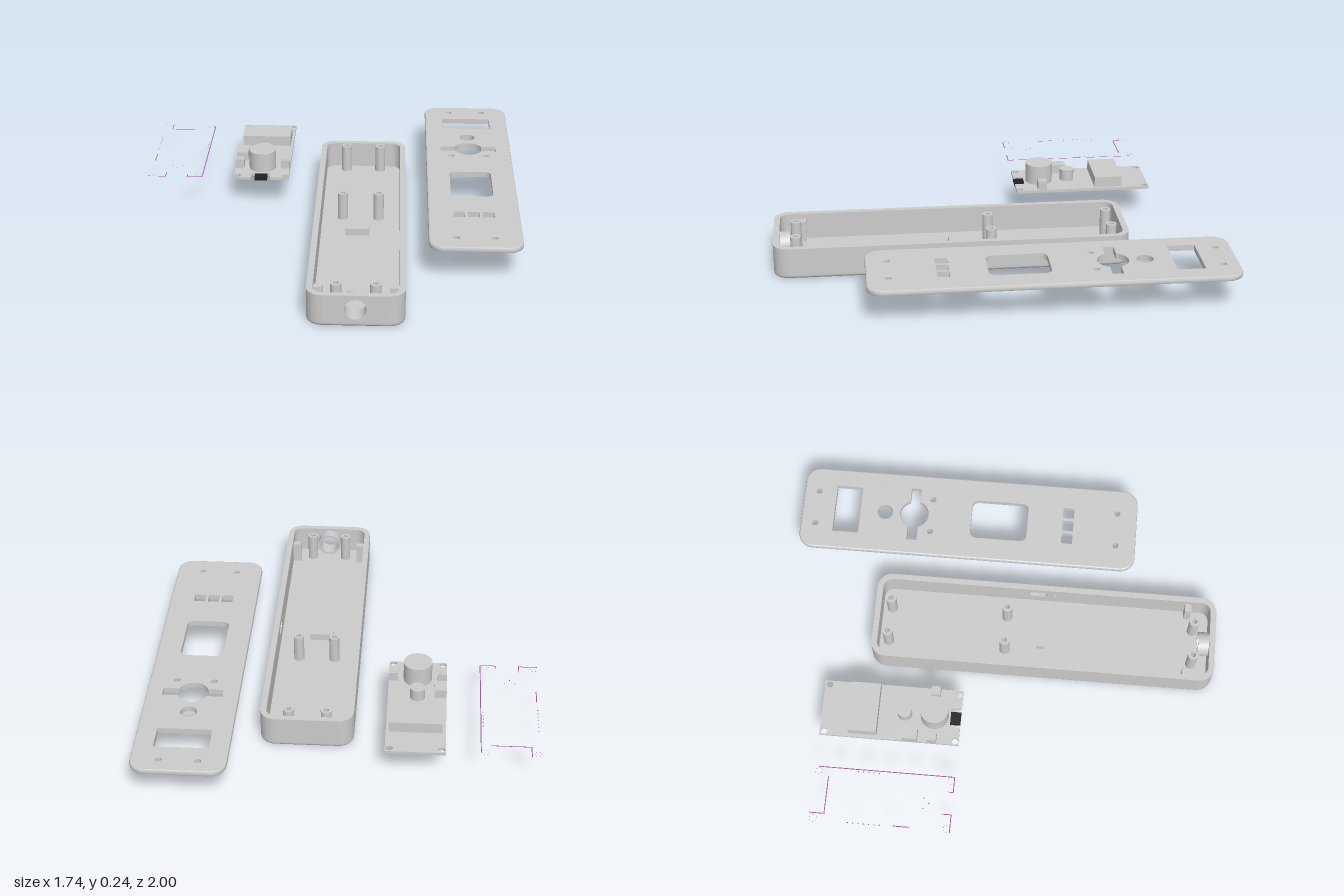
import * as THREE from 'three';
import { toCreasedNormals } from 'three/addons/utils/BufferGeometryUtils.js';

const grey = new THREE.MeshStandardMaterial({ color: 0xcccccc });
const black = new THREE.MeshStandardMaterial({ color: 0x222222 });
const purple = new THREE.MeshStandardMaterial({ color: 0xa050a0, side: THREE.DoubleSide });

function add(parent, name, geometry, material = grey) {
  const mesh = new THREE.Mesh(geometry, material);
  mesh.name = name;
  parent.add(mesh);
  return mesh;
}

function group(parent, name) {
  const g = new THREE.Group();
  g.name = name;
  parent.add(g);
  return g;
}

// Rounded rectangle between two corners
function roundRect(x0, y0, x1, y1, r, Type = THREE.Shape) {
  const s = new Type(), q = Math.PI / 2;
  s.absarc(x1 - r, y0 + r, r, -q, 0);
  s.absarc(x1 - r, y1 - r, r, 0, q);
  s.absarc(x0 + r, y1 - r, r, q, 2 * q);
  s.absarc(x0 + r, y0 + r, r, 2 * q, 3 * q);
  s.closePath();
  return s;
}

const polygon = (points, Type = THREE.Shape) => new Type(points.map(([x, y]) => new THREE.Vector2(x, y)));
const rect = (x0, y0, x1, y1, Type = THREE.Shape) => polygon([[x0, y0], [x1, y0], [x1, y1], [x0, y1]], Type);
const circle = (x, y, r) => new THREE.Path().absarc(x, y, r, 0, Math.PI * 2);

const extrude = (shape, depth) => toCreasedNormals(
  new THREE.ExtrudeGeometry(shape, { depth, bevelEnabled: false, curveSegments: 16 }), 0.5);

// Flat slab whose outline is drawn in x and z
const slab = (shape, bottom, top) => extrude(shape, top - bottom).rotateX(Math.PI / 2).translate(0, top, 0);

const box = (x0, x1, y0, y1, z0, z1) =>
  new THREE.BoxGeometry(x1 - x0, y1 - y0, z1 - z0).translate((x0 + x1) / 2, (y0 + y1) / 2, (z0 + z1) / 2);

const cylinder = (x, z, r, y0, y1) =>
  new THREE.CylinderGeometry(r, r, y1 - y0, 40).translate(x, (y0 + y1) / 2, z);

// Band through rounded rectangles, given as [inset, height] from bottom to top
function band([x0, z0, x1, z1], r, sections) {
  const position = [], index = [];
  let n = 0;
  for (const [d, y] of sections) {
    const pts = roundRect(x0 + d, z0 + d, x1 - d, z1 - d, r - d).getPoints(10);
    n = pts.length;
    for (const p of pts) position.push(p.x, y, p.y);
  }
  for (let i = 0; i < sections.length - 1; i++) {
    for (let j = 0; j < n; j++) {
      const a = i * n + j, b = i * n + (j + 1) % n;
      index.push(a, a + n, b + n, a, b + n, b);
    }
  }
  const g = new THREE.BufferGeometry();
  g.setAttribute('position', new THREE.Float32BufferAttribute(position, 3));
  g.setIndex(index);
  return toCreasedNormals(g, 0.6);
}

const fillet = (r, steps) => Array.from({ length: steps + 1 }, (_, i) => {
  const t = (i / steps) * Math.PI / 2;
  return [r * (1 - Math.sin(t)), r * (1 - Math.cos(t))];
});

function buildCase(parent) {
  const g = group(parent, 'case');
  const x0 = -0.057, x1 = 0.357, z0 = -0.6, z1 = 1, r = 0.07, t = 0.027, floor = 0.022, top = 0.145;

  // Floor with a rounded lower edge
  const f = 0.014;
  add(g, 'floor', slab(roundRect(x0 + f, z0 + f, x1 - f, z1 - f, r - f), 0, floor));
  add(g, 'floorEdge', band([x0, z0, x1, z1], r, [...fillet(f, 5), [0, floor]]));

  // Corner walls
  for (const [cx, cz, k] of [[x1 - r, z1 - r, 0], [x0 + r, z1 - r, 1], [x0 + r, z0 + r, 2], [x1 - r, z0 + r, 3]]) {
    const a = k * Math.PI / 2, b = a + Math.PI / 2;
    const s = new THREE.Shape();
    s.absarc(cx, cz, r, a, b, false);
    s.absarc(cx, cz, r - t, b, a, true);
    s.closePath();
    add(g, 'cornerWall', slab(s, floor, top));
  }

  // End walls, with the round cable opening in front
  const front = rect(x0 + r, floor, x1 - r, top);
  front.holes.push(circle(0.15, 0.08, 0.046));
  add(g, 'frontWall', extrude(front, t)).position.z = z1 - t;
  add(g, 'backWall', box(x0 + r, x1 - r, floor, top, z0, z0 + t));

  // Side walls, with the port slot and its screw holes on the left
  add(g, 'rightWall', box(x0, x0 + t, floor, top, z0 + r, z1 - r));
  const side = rect(-(z1 - r), floor, -(z0 + r), top);
  side.holes.push(roundRect(-0.205, 0.073, -0.115, 0.115, 0.0205, THREE.Path));
  side.holes.push(circle(-0.24, 0.094, 0.009), circle(-0.083, 0.094, 0.009));
  add(g, 'leftWall', extrude(side, t).rotateY(Math.PI / 2)).position.x = x1 - t;

  // Hollow screw posts
  for (const x of [0.066, 0.232]) for (const z of [-0.53, 0.02, 0.9]) {
    const post = new THREE.Shape().absarc(x, z, 0.024, 0, Math.PI * 2);
    post.holes.push(circle(x, z, 0.012));
    add(g, 'screwPost', slab(post, floor - 0.004, 0.151));
  }

  // Collar behind the cable opening
  const collar = new THREE.Shape().absarc(0.15, 0.08, 0.056, 0, Math.PI * 2);
  collar.holes.push(circle(0.15, 0.08, 0.046));
  add(g, 'cableCollar', extrude(collar, 0.052)).position.z = 0.923;

  // Floor rib and wall tabs
  add(g, 'floorRib', box(0.083, 0.194, floor - 0.004, 0.055, 0.168, 0.205));
  add(g, 'wallTab', box(x0 + t - 0.004, 0.008, floor - 0.004, 0.12, 0.855, 0.885));
  add(g, 'wallTab', box(0.292, x1 - t + 0.004, floor - 0.004, 0.12, 0.855, 0.885));
}

function buildLid(parent) {
  const g = group(parent, 'lid');
  const x0 = 0.456, x1 = 0.868, z0 = -1, z1 = 0.6, r = 0.07, e = 0.007, y0 = 0.146, y1 = 0.172, cx = 0.662;
  const s = roundRect(x0 + e, z0 + e, x1 - e, z1 - e, r - e);
  for (const x of [0.578, 0.745]) for (const z of [-0.93, -0.38, 0.505]) s.holes.push(circle(x, z, 0.014));

  // Screen window, button hole, large window and key holes
  s.holes.push(rect(0.543, -0.845, 0.781, -0.722, THREE.Path));
  s.holes.push(circle(cx, -0.603, 0.037));
  s.holes.push(roundRect(0.564, -0.19, 0.759, 0.08, 0.03, THREE.Path));
  for (const x of [0.596, cx, 0.728]) s.holes.push(rect(x - 0.026, 0.246, x + 0.026, 0.299, THREE.Path));

  // Knob hole with a slot to each side
  const knob = new THREE.Path(), a = Math.asin(0.024 / 0.069), cz = -0.464;
  knob.moveTo(0.797, cz - 0.024);
  knob.lineTo(0.797, cz + 0.024);
  knob.absarc(cx, cz, 0.069, a, Math.PI - a);
  knob.lineTo(0.528, cz + 0.024);
  knob.lineTo(0.528, cz - 0.024);
  knob.absarc(cx, cz, 0.069, Math.PI + a, 2 * Math.PI - a);
  knob.closePath();
  s.holes.push(knob);

  add(g, 'plate', slab(s, y0, y1));
  add(g, 'plateEdge', band([x0, z0, x1, z1], r, [[e, y0], [e * 0.3, y0 + e * 0.3], [0, y0 + e],
    [0, y1 - e], [e * 0.3, y1 - e * 0.3], [e, y1]]));
}

function buildBoard(parent) {
  const g = group(parent, 'circuitBoard');
  const top = 0.145;
  const s = polygon([[-0.461, -0.787], [-0.2, -0.787], [-0.2, -0.148], [-0.288, -0.148],
    [-0.288, -0.195], [-0.377, -0.195], [-0.377, -0.148], [-0.461, -0.148]]);
  for (const x of [-0.443, -0.219]) for (const z of [-0.766, -0.165]) s.holes.push(circle(x, z, 0.015));
  add(g, 'board', slab(s, 0.132, top));

  // Screen, knob and button
  add(g, 'screen', box(-0.445, -0.213, top, 0.195, -0.655, -0.525));
  add(g, 'knob', cylinder(-0.33, -0.268, 0.064, top, 0.238));
  add(g, 'button', cylinder(-0.332, -0.405, 0.033, top, 0.2));

  // Connectors and port
  add(g, 'connector', box(-0.461, -0.407, top, 0.187, -0.408, -0.338));
  for (const x of [-0.461, -0.241]) {
    add(g, 'sideSwitch', box(x, x + 0.041, top, 0.187, -0.292, -0.25));
    add(g, 'switchCap', box(x + 0.007, x + 0.034, 0.187, 0.19, -0.285, -0.257));
  }
  add(g, 'port', box(-0.362, -0.303, 0.127, 0.142, -0.195, -0.148), black);
}

// Flat tracing of the board outline: thin strips and dots
function buildTracing(parent) {
  const g = group(parent, 'boardTracing');
  const y = 0.14, w = 0.002;
  const strip = (x0, z0, x1, z1) => add(g, 'outlineStrip',
    slabFace(x0 - w, z0 - w, x1 + w, z1 + w, y), purple);
  const dot = (x, z, r = 0.003) => add(g, 'outlineDot',
    new THREE.CircleGeometry(r, 8).rotateX(-Math.PI / 2).translate(x, y, z), purple);
  for (const line of [[-0.612, -0.765, -0.612, -0.15], [-0.826, -0.72, -0.657, -0.72],
    [-0.828, -0.785, -0.828, -0.72], [-0.86, -0.405, -0.86, -0.335], [-0.683, -0.15, -0.612, -0.15],
    [-0.868, -0.15, -0.79, -0.15], [-0.787, -0.19, -0.787, -0.15], [-0.683, -0.17, -0.683, -0.15]]) strip(...line);
  for (let i = 0; i < 7; i++) dot(-0.862, -0.61 + i * 0.024);
  for (let i = 0; i < 5; i++) dot(-0.622, -0.588 + i * 0.024);
  for (const [x, z] of [[-0.767, -0.28], [-0.72, -0.28], [-0.743, -0.255]]) dot(x, z);
  for (const x of [-0.855, -0.632]) for (const z of [-0.766, -0.165]) {
    for (let i = 0; i < 6; i++) dot(x + 0.016 * Math.cos(i * Math.PI / 3), z + 0.016 * Math.sin(i * Math.PI / 3), 0.002);
  }
}

const slabFace = (x0, z0, x1, z1, y) =>
  new THREE.PlaneGeometry(x1 - x0, z1 - z0).rotateX(-Math.PI / 2).translate((x0 + x1) / 2, y, (z0 + z1) / 2);

export function createModel() {
  const model = new THREE.Group();
  model.name = 'handheldEnclosureKit';
  buildCase(model);
  buildLid(model);
  buildBoard(model);
  buildTracing(model);
  return model;
}
